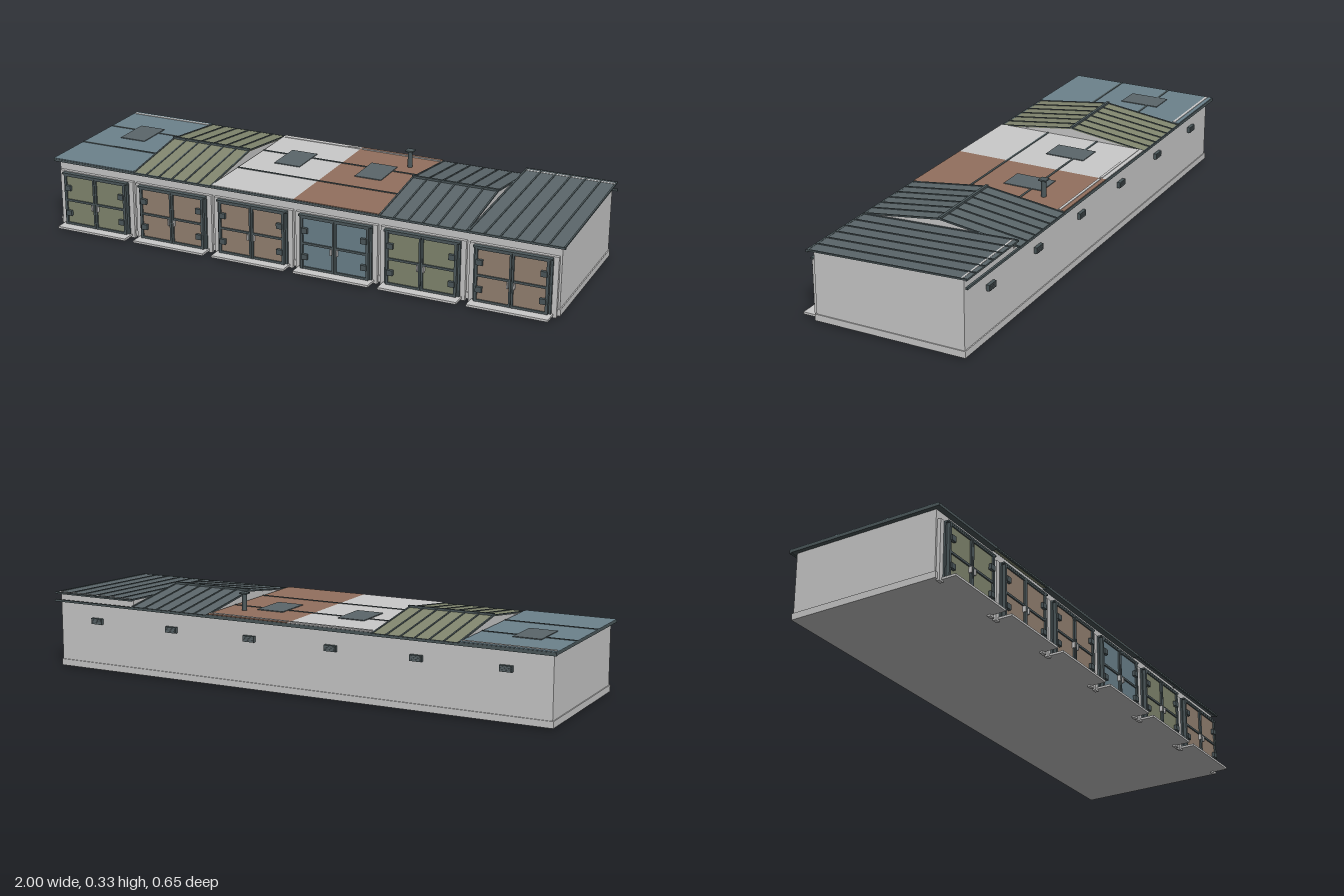
import * as THREE from 'three';

const mat = (name, color) => {
  const m = new THREE.MeshStandardMaterial({ color });
  m.name = name;
  return m;
};

export function createModel() {
  const M = {
    wall: mat('pale concrete', 0xcacaca),
    dark: mat('dark steel', 0x4c585b),
    slate: mat('slate roofing', 0x5b666a),
    blue: mat('faded blue', 0x6c828c),
    green: mat('olive green', 0x82876f),
    rust: mat('rust brown', 0x92705e),
    tan: mat('door brown', 0x958272),
  };
  const root = new THREE.Group();
  root.name = 'garageRow';

  // Box given by its minimum and maximum on each axis
  const box = (parent, name, m, x0, x1, y0, y1, z0, z1) => {
    const mesh = new THREE.Mesh(new THREE.BoxGeometry(x1 - x0, y1 - y0, z1 - z0), m);
    mesh.position.set((x0 + x1) / 2, (y0 + y1) / 2, (z0 + z1) / 2);
    mesh.name = name;
    parent.add(mesh);
    return mesh;
  };
  // Profile in (z, y), extruded along x from x0 to x1
  const prism = (parent, name, m, pts, x0, x1) => {
    const shape = new THREE.Shape(pts.map(([z, y]) => new THREE.Vector2(-z, y)));
    const geo = new THREE.ExtrudeGeometry(shape, { depth: x1 - x0, bevelEnabled: false });
    geo.rotateY(Math.PI / 2);
    geo.translate(x0, 0, 0);
    const mesh = new THREE.Mesh(geo, m);
    mesh.name = name;
    parent.add(mesh);
  };
  // Sheet of constant thickness that follows a line of (z, y) points
  const sheet = (parent, name, m, line, t, x0, x1, lift = 0) => {
    const low = line.map(([z, y]) => [z, y + lift]);
    const high = line.map(([z, y]) => [z, y + lift + t]).reverse();
    prism(parent, name, m, [...low, ...high], x0, x1);
  };

  // Main building
  box(root, 'walls', M.wall, -0.985, 0.985, 0.006, 0.255, -0.303, 0.26);
  box(root, 'plinth', M.wall, -0.989, 0.989, 0.006, 0.03, -0.307, 0.265);
  box(root, 'frontFascia', M.dark, -1, 1, 0.256, 0.264, 0.274, 0.281);
  box(root, 'rearGutter', M.dark, -1, 1, 0.254, 0.262, -0.325, -0.317);

  // Front opening of one bay, centred on x = 0
  const addDoor = (cx, color) => {
    const g = new THREE.Group();
    g.name = 'garageDoor';
    g.position.x = cx;
    root.add(g);
    box(g, 'ramp', M.wall, -0.146, 0.146, 0.006, 0.014, 0.262, 0.327);
    box(g, 'lintel', M.wall, -0.158, 0.158, 0.214, 0.222, 0.26, 0.273);
    for (const s of [-1, 1]) {
      const span = (name, m, a, b, ...rest) =>
        box(g, name, m, Math.min(s * a, s * b), Math.max(s * a, s * b), ...rest);
      span('pilaster', M.wall, 0.136, 0.158, 0, 0.222, 0.26, 0.273);
      span('jamb', M.dark, 0.131, 0.14, 0.014, 0.218, 0.262, 0.28);
      span('leaf', color, 0.002, 0.131, 0.016, 0.214, 0.262, 0.286);
      span('outerStile', M.dark, 0.122, 0.132, 0.015, 0.217, 0.273, 0.292);
      span('innerStile', M.dark, 0.001, 0.008, 0.015, 0.217, 0.273, 0.292);
      for (const y of [0.015, 0.108, 0.207]) {
        span('rail', M.dark, 0.008, 0.123, y, y + 0.008, 0.275, 0.291);
      }
      for (const y of [0.052, 0.152]) {
        span('hinge', M.dark, 0.103, 0.126, y, y + 0.02, 0.285, 0.297);
      }
      span('handle', M.wall, 0.009, 0.014, 0.086, 0.108, 0.286, 0.298);
    }
    box(g, 'doorHead', M.dark, -0.14, 0.14, 0.213, 0.219, 0.262, 0.292);
    // Rear wall vent with louvre slats
    box(g, 'rearVent', M.dark, -0.023, 0.023, 0.18, 0.202, -0.315, -0.3);
    for (let i = 0; i < 3; i++) {
      box(g, 'ventSlat', M.slate, -0.019, 0.019, 0.183 + i * 0.006, 0.187 + i * 0.006, -0.317, -0.314);
    }
  };
  const centres = [-0.82, -0.492, -0.164, 0.164, 0.492, 0.82];
  const doors = [M.green, M.tan, M.tan, M.blue, M.green, M.tan];
  centres.forEach((x, i) => addDoor(x, doors[i]));

  // Flat felt roof with seams, patch and rear edge strip
  const addFlatRoof = (x0, x1, color) => {
    const g = new THREE.Group();
    g.name = 'flatRoof';
    root.add(g);
    box(g, 'roofDeck', M.dark, x0, x1, 0.256, 0.266, -0.325, 0.28);
    box(g, 'roofFelt', color, x0, x1, 0.266, 0.268, -0.323, 0.279);
    for (const z of [-0.13, 0.077]) box(g, 'seam', M.dark, x0, x1, 0.267, 0.27, z - 0.004, z + 0.004);
    const cx = (x0 + x1) / 2 - 0.01;
    box(g, 'roofPatch', M.slate, cx - 0.052, cx + 0.052, 0.267, 0.271, -0.173, -0.02);
    box(g, 'edgeStrip', M.wall, x0 + 0.006, x1 - 0.003, 0.267, 0.27, -0.307, -0.297);
  };
  addFlatRoof(-1, -0.656, M.blue);
  addFlatRoof(-0.328, 0, M.wall);
  addFlatRoof(0, 0.328, M.rust);

  // Standing seam roof along a (z, y) line, with a wall infill beneath
  const addSeamRoof = (name, line, x0, x1, color, inset0, inset1) => {
    const g = new THREE.Group();
    g.name = name;
    root.add(g);
    const infill = line.map(([z, y]) => [THREE.MathUtils.clamp(z, -0.303, 0.26), y]);
    const n = infill.length;
    prism(g, 'roofInfill', M.wall,
      [[infill[0][0], 0.25], ...infill, [infill[n - 1][0], 0.25]], x0 + inset0, x1 - inset1);
    sheet(g, 'roofSheet', color, line, 0.003, x0, x1);
    const ribs = 6;
    for (let i = 0; i <= ribs; i++) {
      const x = x0 + 0.003 + ((x1 - x0 - 0.006) * i) / ribs;
      sheet(g, 'roofRib', M.dark, line, 0.004, x - 0.003, x + 0.003, 0.0015);
    }
    for (const [z, y] of [line[0], line[n - 1]]) {
      box(g, 'eaveTrim', M.dark, x0, x1, y - 0.002, y + 0.004, z - 0.002, z + 0.002);
    }
    return g;
  };
  const gable = [[0.28, 0.26], [-0.021, 0.299], [-0.322, 0.26]];
  for (const [x0, x1, color] of [[-0.656, -0.328, M.green], [0.328, 0.656, M.slate]]) {
    const g = addSeamRoof('gableRoof', gable, x0, x1, color, 0.004, 0.004);
    box(g, 'ridgeCap', M.dark, x0, x1, 0.3, 0.309, -0.026, -0.016);
  }
  const shed = addSeamRoof('shedRoof', [[0.28, 0.26], [-0.32, 0.285]], 0.656, 1, M.slate, 0.004, 0.015);
  sheet(shed, 'edgeStrip', M.wall, [[-0.297, 0.2875], [-0.304, 0.2878]], 0.001, 0.662, 0.996);

  // Stove pipe
  const pipe = new THREE.Group();
  pipe.name = 'chimney';
  pipe.position.set(0.245, 0, -0.2);
  root.add(pipe);
  const tube = new THREE.Mesh(new THREE.CylinderGeometry(0.009, 0.009, 0.068, 12), M.dark);
  tube.position.y = 0.296;
  tube.name = 'pipe';
  pipe.add(tube);
  box(pipe, 'pipeCap', M.dark, -0.015, 0.015, 0.329, 0.334, -0.015, 0.015);

  return root;
}
